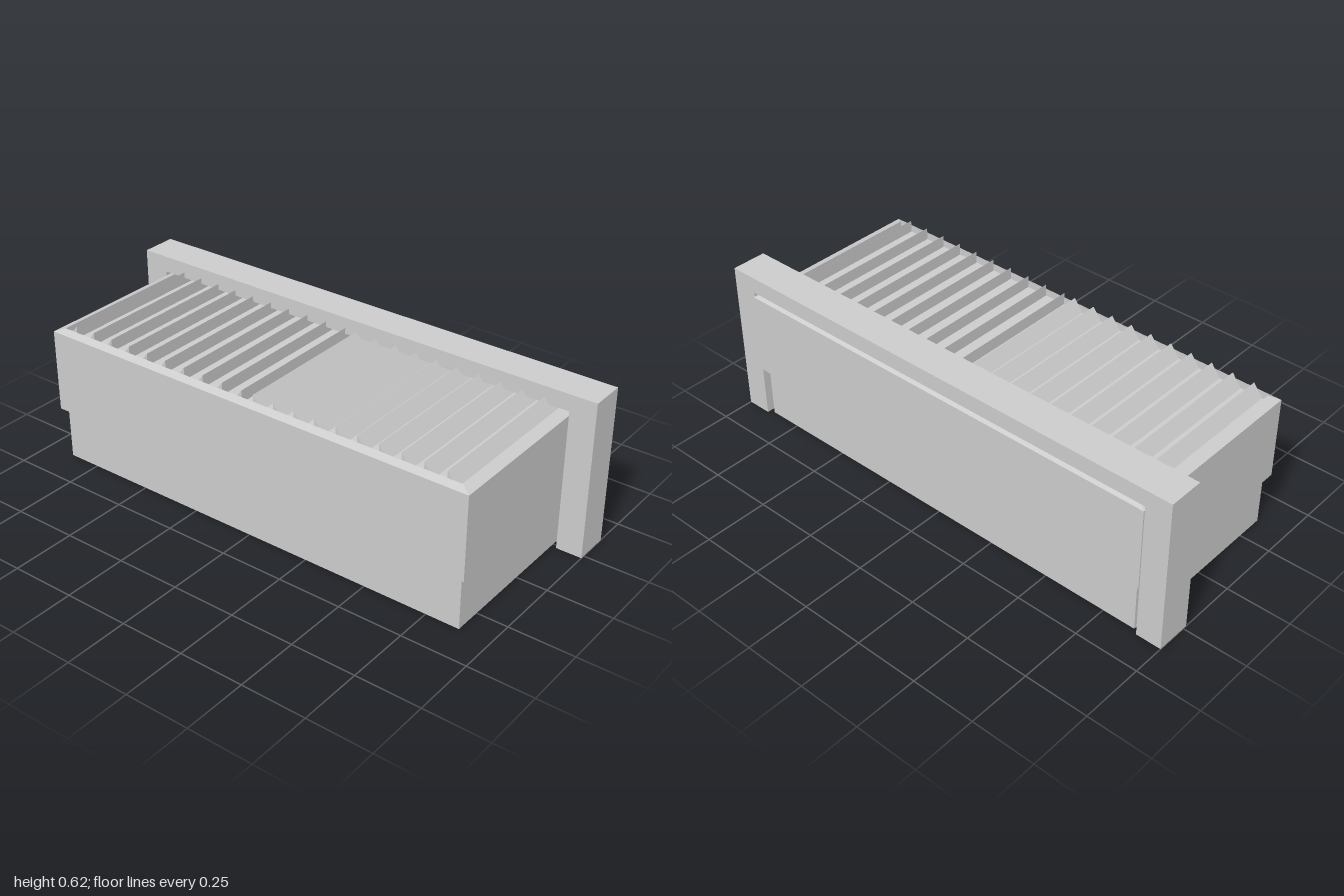
import * as THREE from 'three';

const material = new THREE.MeshStandardMaterial({
  color: 0xcccccc, flatShading: true, side: THREE.DoubleSide,
});

// Stack of rectangles [halfX, halfZ, y] joined in order by flat sides
function loft(levels, capFirst, capLast) {
  const pos = [];
  const ring = ([hx, hz, y]) => [[-hx, y, hz], [hx, y, hz], [hx, y, -hz], [-hx, y, -hz]];
  const quad = (a, b, c, d) => pos.push(...a, ...b, ...c, ...a, ...c, ...d);
  const rings = levels.map(ring);
  for (let i = 0; i < rings.length - 1; i++) {
    const lo = rings[i], hi = rings[i + 1];
    for (let k = 0; k < 4; k++) {
      const n = (k + 1) % 4;
      quad(lo[k], lo[n], hi[n], hi[k]);
    }
  }
  if (capFirst) quad(...rings[0].slice().reverse());
  if (capLast) quad(...rings[rings.length - 1]);
  const geo = new THREE.BufferGeometry();
  geo.setAttribute('position', new THREE.Float32BufferAttribute(pos, 3));
  geo.computeVertexNormals();
  return geo;
}

// Outline in x/y pushed along z from z0 to z1
function extrude(points, z0, z1) {
  const shape = new THREE.Shape(points.map(([x, y]) => new THREE.Vector2(x, y)));
  return new THREE.ExtrudeGeometry(shape, { depth: z1 - z0, bevelEnabled: false }).translate(0, 0, z0);
}

// Drops triangles lying on the ground, leaving the hollow part open below
function openBelow(geo) {
  const p = geo.attributes.position, kept = [];
  for (let i = 0; i < p.count; i += 3) {
    if (Math.max(p.getY(i), p.getY(i + 1), p.getY(i + 2)) < 1e-4) continue;
    for (let k = i; k < i + 3; k++) kept.push(p.getX(k), p.getY(k), p.getZ(k));
  }
  const out = new THREE.BufferGeometry();
  out.setAttribute('position', new THREE.Float32BufferAttribute(kept, 3));
  out.computeVertexNormals();
  return out;
}

export function createModel() {
  const group = new THREE.Group();
  const add = (name, geo, parent = group) => {
    const mesh = new THREE.Mesh(geo, material);
    mesh.name = name;
    parent.add(mesh);
  };

  // Hollow plinth, open at the bottom
  add('base', loft([[0.88, 0.357, 0], [0.88, 0.357, 0.204]], false, true));

  // Narrow shadow gap between plinth and box
  add('neck', loft([[0.872, 0.352, 0.204], [0.872, 0.352, 0.209]], false, false));

  // Main box with a bevelled rim and a shallow recess in its top
  const floor = 0.526;
  add('body', loft([
    [0.9, 0.378, 0.209], [0.9, 0.378, 0.534], [0.862, 0.352, 0.548], [0.862, 0.352, floor],
  ], true, true));

  // Rear arch: two hollow legs joined by a beam
  add('rearFrame', openBelow(extrude([
    [-1, 0], [-0.9, 0], [-0.9, 0.551], [0.9, 0.551], [0.9, 0], [1, 0], [1, 0.615], [-1, 0.615],
  ], -0.373, -0.234)));

  // Wedge slats, mirrored about the middle with their upright faces inward
  const slats = new THREE.Group();
  slats.name = 'topSlats';
  const pitch = 0.0865, half = 0.0185;
  for (const s of [-1, 1]) {
    for (let i = 0; i < 10; i++) {
      const c = (i + 0.5) * pitch;
      add('slat', extrude([
        [s * (c - half), floor], [s * (c + half), floor], [s * (c - half), 0.574],
      ], -0.352, 0.352), slats);
    }
  }
  group.add(slats);
  return group;
}
